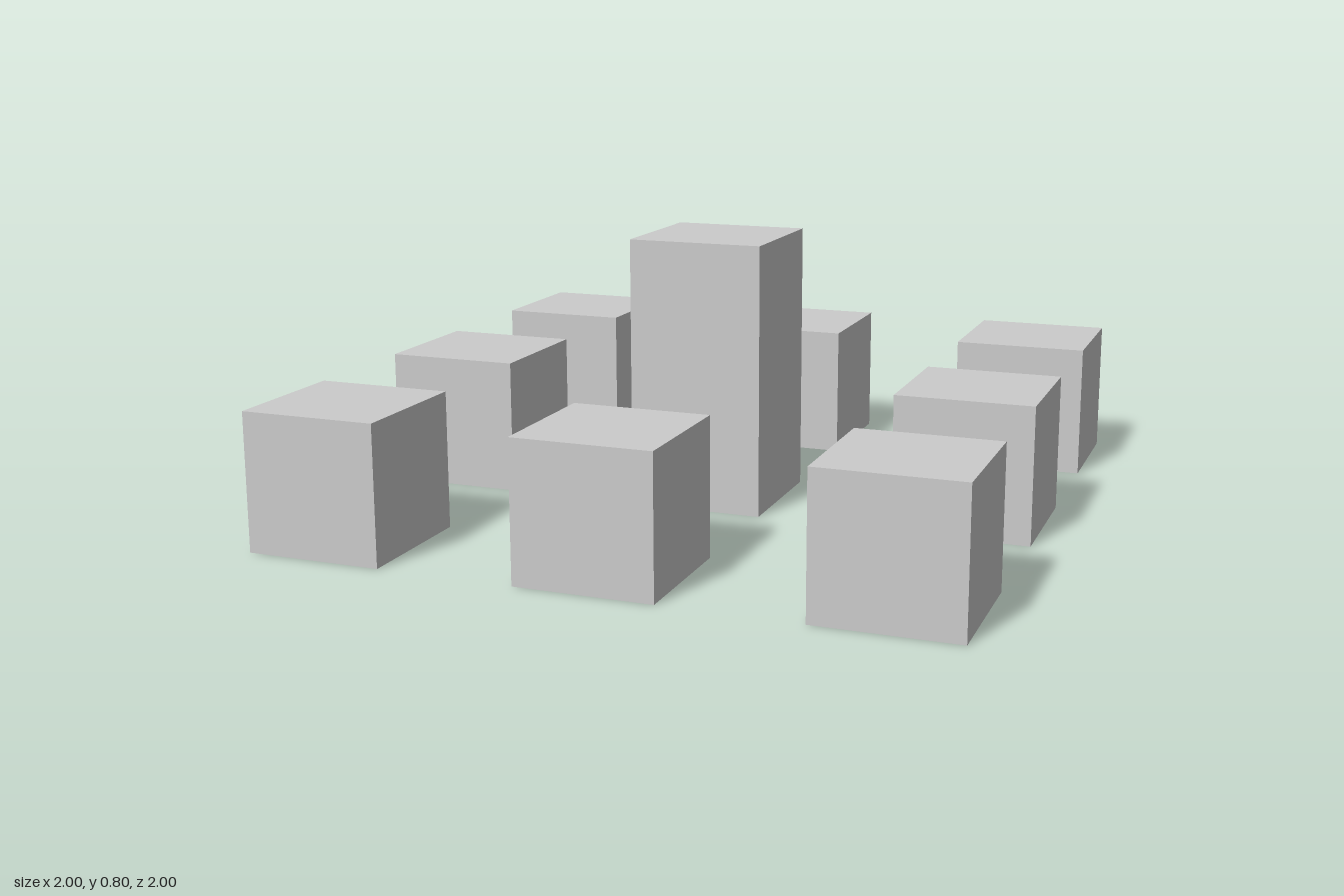
import * as THREE from 'three';

const SIZE = 0.4;    // footprint of every block
const SPACING = 0.8; // distance between block centres

export function createModel() {
  const model = new THREE.Group();
  model.name = 'blockGrid';
  const material = new THREE.MeshStandardMaterial({ color: 0xcccccc, flatShading: true });

  // Block standing on the ground
  const addBlock = (name, height, x, z) => {
    const mesh = new THREE.Mesh(new THREE.BoxGeometry(SIZE, height, SIZE), material);
    mesh.name = name;
    mesh.position.set(x, height / 2, z);
    model.add(mesh);
  };

  // 3 x 3 grid: a double-height pillar in the middle, cubes around it
  const columns = ['Right', 'Middle', 'Left'];
  const rows = ['back', 'centre', 'front'];
  for (let row = 0; row < 3; row++) {
    for (let col = 0; col < 3; col++) {
      const isCentre = row === 1 && col === 1;
      addBlock(
        isCentre ? 'centrePillar' : `${rows[row]}${columns[col]}Cube`,
        isCentre ? SIZE * 2 : SIZE,
        (col - 1) * SPACING,
        (row - 1) * SPACING
      );
    }
  }
  return model;
}
